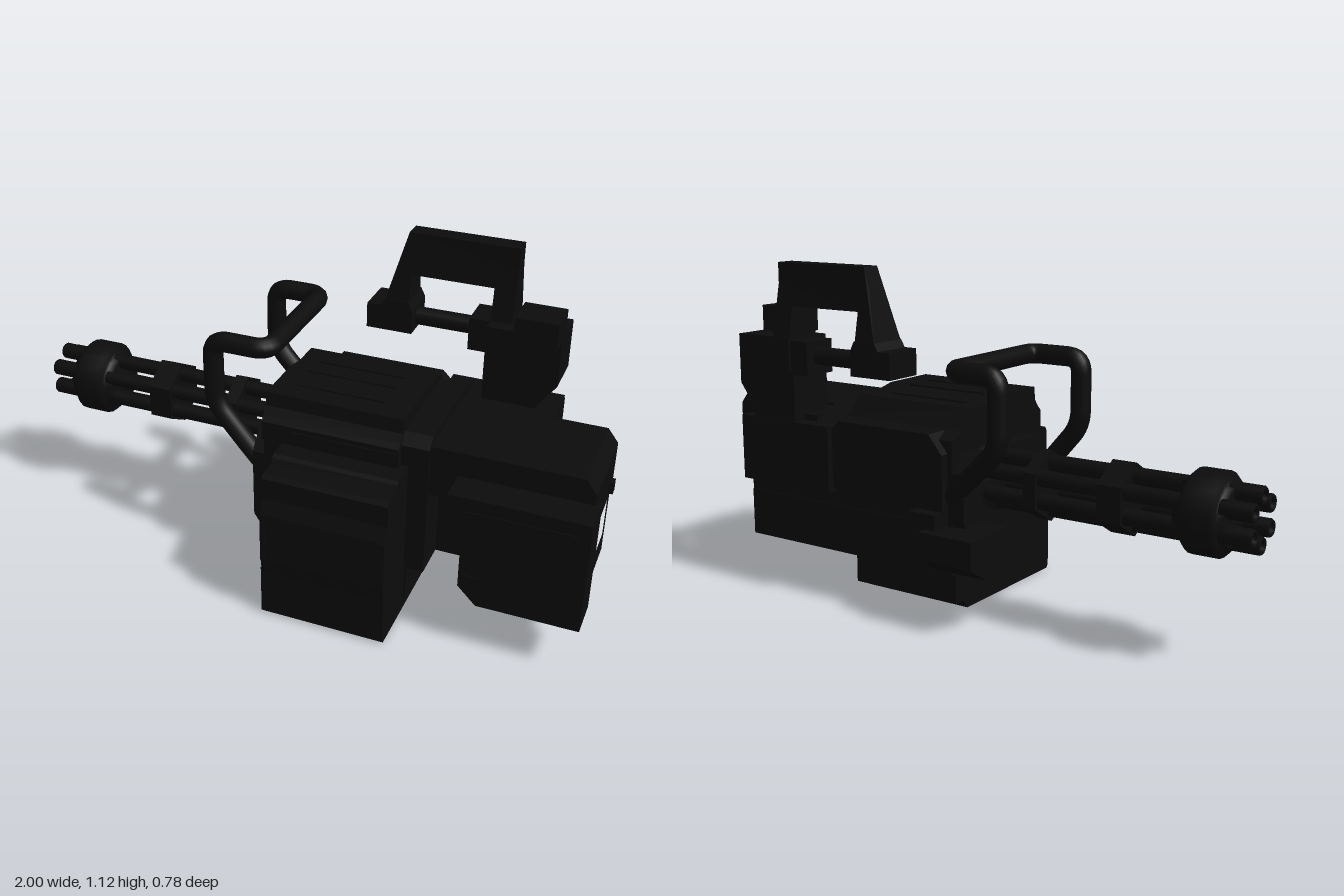
import * as THREE from 'three';

const gunmetal = new THREE.MeshStandardMaterial({ color: 0x0c0c0c });
gunmetal.name = 'gunmetal black';

export function createModel() {
  const model = new THREE.Group();
  model.name = 'rotaryGun';

  const add = (name, geo) => {
    const m = new THREE.Mesh(geo, gunmetal);
    m.name = name;
    model.add(m);
    return m;
  };
  // Box given by its limits on each axis
  const box = (name, x0, x1, y0, y1, z0, z1) =>
    add(name, new THREE.BoxGeometry(x1 - x0, y1 - y0, z1 - z0)
      .translate((x0 + x1) / 2, (y0 + y1) / 2, (z0 + z1) / 2));
  const toShape = (pts) => new THREE.Shape(pts.map(([a, b]) => new THREE.Vector2(a, b)));
  // Profile of [z, y] points drawn out along x
  const alongX = (name, x0, x1, pts, holes = []) => {
    const flip = (p) => p.map(([z, y]) => [-z, y]);
    const s = toShape(flip(pts));
    holes.forEach((h) => s.holes.push(toShape(flip(h))));
    return add(name, new THREE.ExtrudeGeometry(s, { depth: x1 - x0, bevelEnabled: false })
      .rotateY(Math.PI / 2).translate(x0, 0, 0));
  };
  // Profile of [x, y] points drawn out along z
  const alongZ = (name, z0, z1, pts) =>
    add(name, new THREE.ExtrudeGeometry(toShape(pts), { depth: z1 - z0, bevelEnabled: false })
      .translate(0, 0, z0));
  const rect = (a0, a1, b0, b1) => [[a0, b0], [a1, b0], [a1, b1], [a0, b1]];

  // Rotating barrel cluster: profiles of [radius, x], muzzle end first, turned about the x axis
  const axisY = 0.457, axisZ = -0.11;
  const turned = (name, pts, y, z, sides) =>
    add(name, new THREE.LatheGeometry(pts.map(([r, x]) => new THREE.Vector2(r, -x)).reverse(), sides)
      .rotateZ(Math.PI / 2).translate(0, y, z));
  for (let i = 0; i < 6; i++) {
    const a = (i * Math.PI) / 3;
    turned('barrel', [[0, -0.95], [0.015, -0.95], [0.017, -0.998], [0.024, -1], [0.028, -0.994], [0.028, -0.9],
      [0.026, -0.895], [0.026, -0.06]], axisY + 0.073 * Math.cos(a), axisZ + 0.073 * Math.sin(a), 16);
  }
  turned('muzzleClamp', [[0, -0.92], [0.09, -0.92], [0.092, -0.9], [0.112, -0.9], [0.127, -0.885], [0.127, -0.8],
    [0.112, -0.785], [0.092, -0.785], [0.09, -0.76], [0, -0.76]], axisY, axisZ, 24);
  turned('barrelBearing', [[0, -0.115], [0.105, -0.115], [0.105, -0.06]], axisY, axisZ, 24);
  // Six-sided clamps with a corner over each barrel
  for (const [x0, x1] of [[-0.6, -0.52], [-0.31, -0.265]])
    add('barrelClamp', new THREE.CylinderGeometry(0.113, 0.113, x1 - x0, 6, 1, false, Math.PI / 2)
      .toNonIndexed().rotateZ(Math.PI / 2).translate((x0 + x1) / 2, axisY, axisZ)).geometry.computeVertexNormals();

  // Receiver
  alongX('receiver', -0.065, 0.39, [[-0.3, 0.17], [0.2, 0.17], [0.2, 0.55], [0.215, 0.55], [0.215, 0.615],
    [0.2, 0.63], [0.18, 0.655], [0.175, 0.7], [-0.02, 0.7], [-0.09, 0.685], [-0.19, 0.685], [-0.24, 0.62], [-0.3, 0.6]]);
  alongX('receiverRear', 0.39, 0.48, [[-0.3, 0.17], [0.19, 0.17], [0.19, 0.62], [0.16, 0.655],
    [-0.19, 0.655], [-0.3, 0.6]]);
  alongX('frontPlate', -0.11, -0.065, [[-0.3, 0.35], [-0.24, 0.18], [0.15, 0.18], [0.19, 0.24],
    [0.19, 0.48], [0.13, 0.55], [-0.24, 0.55], [-0.3, 0.5]]);
  for (const z of [-0.13, -0.03, 0.07]) box('coverRib', 0, 0.3, z < -0.1 ? 0.68 : 0.69, z < -0.1 ? 0.69 : 0.704, z, z + 0.03);
  box('frontSeam', 0.04, 0.38, 0.58, 0.6, 0.2, 0.22);

  // Ammunition box: upper pannier and lower bin
  alongX('ammoBox', 0.005, 0.415, [[0.15, 0.17], [0.383, 0.17], [0.39, 0.22], [0.39, 0.39], [0.37, 0.44],
    [0.37, 0.51], [0.36, 0.523], [0.3, 0.523], [0.29, 0.54], [0.28, 0.55], [0.15, 0.55]]);
  alongX('ammoBin', 0, 0.415, [[-0.125, 0], [0.37, 0], [0.38, 0.01], [0.38, 0.18], [-0.19, 0.18],
    [-0.19, 0.03], [-0.15, 0.03]]);
  for (const x of [0.005, 0.395]) box('ammoBoxRib', x, x + 0.015, 0.22, 0.39, 0.385, 0.393);
  box('ammoBoxPad', 0.41, 0.42, 0.22, 0.44, 0.08, 0.18);
  box('binPad', 0.41, 0.42, 0.04, 0.16, 0.1, 0.18);

  // Rear housing, set back between the receiver and the side pod
  alongZ('rearHousingTop', -0.14, 0.18, [[0.48, 0.46], [0.985, 0.46], [0.985, 0.585], [0.95, 0.63], [0.48, 0.63]]);
  box('rearHousingLower', 0.66, 0.97, 0.17, 0.46, 0.06, 0.2);
  box('rearHousingCore', 0.48, 0.78, 0.17, 0.62, -0.3, 0.06);
  alongZ('rearSidePod', 0.16, 0.29, [[0.68, 0.17], [1, 0.17], [1, 0.55], [0.57, 0.55], [0.57, 0.4], [0.62, 0.36], [0.62, 0.23]]);
  // Raised panel outline on the pod
  const bar = (x0, y0, x1, y1) => {
    const m = add('podPanelTrim', new THREE.BoxGeometry(Math.hypot(x1 - x0, y1 - y0), 0.012, 0.008));
    m.position.set((x0 + x1) / 2, (y0 + y1) / 2, 0.29);
    m.rotation.z = Math.atan2(y1 - y0, x1 - x0);
  };
  const outline = [[0.63, 0.27], [0.7, 0.27], [0.96, 0.5], [0.63, 0.5], [0.63, 0.27]];
  for (let i = 0; i < 4; i++) bar(...outline[i], ...outline[i + 1]);
  // Open guard on the back end
  alongX('rearGuard', 0.955, 0.985, rect(-0.1, 0.17, 0.21, 0.48), [rect(-0.065, 0.06, 0.29, 0.42)]);
  box('rearGuardCatch', 0.98, 1, 0.45, 0.49, -0.085, -0.055);

  // Back side covers
  alongX('lowerSideRail', -0.2, 0.0, [[-0.2, 0.18], [-0.3, 0.18], [-0.39, 0.235], [-0.39, 0.325], [-0.2, 0.33]]);
  box('lowerSideRailRear', 0, 0.78, 0.17, 0.33, -0.305, -0.18);
  box('sideLedge', -0.05, 0.05, 0.33, 0.38, -0.37, -0.28);
  alongZ('sideCover', -0.33, -0.25, [[-0.05, 0.37], [0.36, 0.37], [0.39, 0.4], [0.39, 0.59], [0.36, 0.62],
    [0, 0.62], [-0.05, 0.56]]);
  box('sidePanel', 0.39, 0.77, 0.38, 0.6, -0.352, -0.28);

  // Grip frame: two posts joined by a cross bar, with rounded bends
  const corners = [[-0.06, 0.36, 0.13], [-0.15, 0.46, 0.13], [-0.27, 0.6, 0.13], [-0.27, 0.822, 0.13],
    [-0.08, 0.822, 0.13], [-0.08, 0.822, -0.32], [-0.25, 0.822, -0.32], [-0.25, 0.6, -0.32], [-0.05, 0.42, -0.28]]
    .map((p) => new THREE.Vector3(...p));
  const path = new THREE.CurvePath();
  let last = corners[0];
  for (let i = 1; i < corners.length - 1; i++) {
    const c = corners[i];
    const a = c.clone().add(corners[i - 1].clone().sub(c).setLength(0.05));
    const b = c.clone().add(corners[i + 1].clone().sub(c).setLength(0.05));
    path.add(new THREE.LineCurve3(last, a));
    path.add(new THREE.QuadraticBezierCurve3(a, c, b));
    last = b;
  }
  path.add(new THREE.LineCurve3(last, corners[corners.length - 1]));
  add('gripFrame', new THREE.TubeGeometry(path, 150, 0.033, 12));

  // Carry handle: an arch whose thickness narrows toward the top
  const arch = toShape([[0.175, 0.86], [0.175, 0.885], [0.22, 1.05], [0.24, 1.118], [0.6, 1.118], [0.6, 1.05],
    [0.6, 0.86], [0.53, 0.86], [0.53, 0.98], [0.255, 0.98], [0.255, 0.86]]);
  const archGeo = new THREE.ExtrudeGeometry(arch, { depth: 1, bevelEnabled: false });
  const p = archGeo.attributes.position;
  for (let i = 0; i < p.count; i++) {
    const t = THREE.MathUtils.clamp((p.getY(i) - 0.88) / 0.17, 0, 1);
    const back = THREE.MathUtils.lerp(-0.37, -0.33, t), front = THREE.MathUtils.lerp(-0.235, -0.267, t);
    p.setZ(i, THREE.MathUtils.lerp(back, front, p.getZ(i)));
  }
  archGeo.computeVertexNormals();
  add('carryHandle', archGeo);
  alongZ('handleFoot', -0.37, -0.235, [[0.115, 0.78], [0.27, 0.78], [0.27, 0.86], [0.255, 0.89], [0.175, 0.89],
    [0.16, 0.865], [0.115, 0.865]]);
  const rod = add('handleRod', new THREE.CylinderGeometry(0.03, 0.03, 0.3, 16).rotateZ(Math.PI / 2));
  rod.position.set(0.39, 0.82, -0.3);
  box('rodSocket', 0.46, 0.54, 0.76, 0.87, -0.36, -0.24);

  // Handle column and sight block
  alongZ('handleColumn', -0.35, -0.19, [[0.53, 0.58], [0.71, 0.58], [0.71, 0.63], [0.77, 0.71], [0.77, 0.875], [0.53, 0.875]]);
  box('columnShoulder', 0.53, 0.7, 0.77, 0.88, -0.37, -0.3);
  box('sightBlock', 0.635, 0.77, 0.87, 0.96, -0.235, -0.11);

  return model;
}
